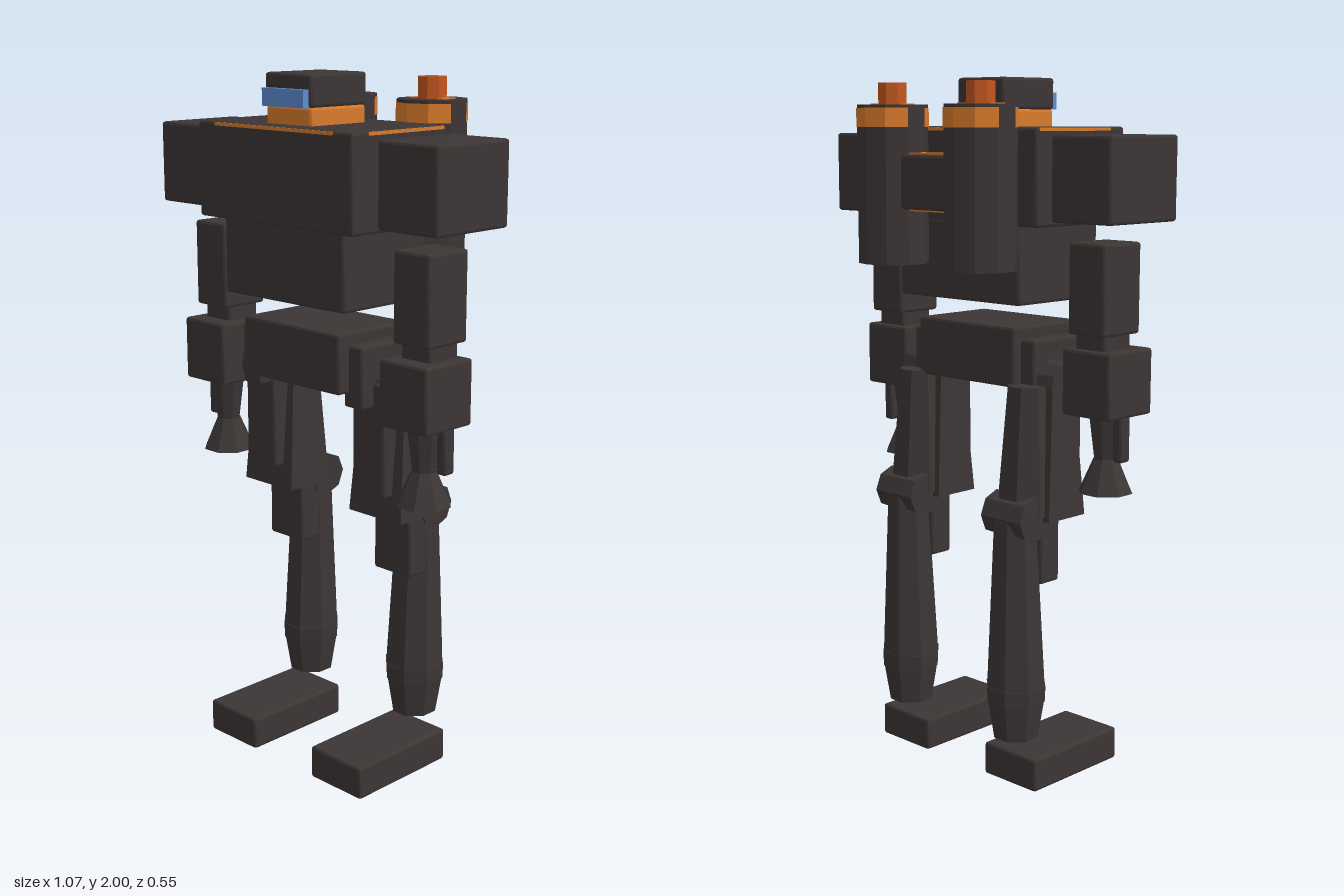
import * as THREE from 'three';
import { toCreasedNormals } from 'three/addons/utils/BufferGeometryUtils.js';
import { RoundedBoxGeometry } from 'three/addons/geometries/RoundedBoxGeometry.js';

function mat(name, color) {
  const m = new THREE.MeshStandardMaterial({ color });
  m.name = name;
  return m;
}

export function createModel() {
  const dark = mat('charcoal', 0x3c3635);
  const orange = mat('orange', 0xd97a2b);
  const rust = mat('rust', 0xc4561f);
  const blue = mat('visorBlue', 0x5f8bd0);

  const model = new THREE.Group();
  model.name = 'robot';

  const add = (parent, name, geo, material, x = 0, y = 0, z = 0) => {
    const mesh = new THREE.Mesh(toCreasedNormals(geo, 0.3), material);
    mesh.name = name;
    mesh.position.set(x, y, z);
    parent.add(mesh);
    return mesh;
  };

  // Box given by its limits on each axis, with a small bevel when thick enough
  const box = (parent, name, [x0, x1], [y0, y1], [z0, z1], material = dark) => {
    const w = x1 - x0, h = y1 - y0, d = z1 - z0;
    const geo = Math.min(w, h, d) > 0.03
      ? new RoundedBoxGeometry(w, h, d, 1, 0.008)
      : new THREE.BoxGeometry(w, h, d);
    return add(parent, name, geo, material, (x0 + x1) / 2, (y0 + y1) / 2, (z0 + z1) / 2);
  };

  // Upright tapered prism; the top may be shifted in z
  const taper = (parent, name, rTop, rBottom, y0, y1, x, z, sides = 8, lean = 0, material = dark) => {
    const h = y1 - y0;
    const geo = new THREE.CylinderGeometry(rTop, rBottom, h, sides);
    geo.rotateY(Math.PI / sides);
    const p = geo.attributes.position;
    for (let i = 0; i < p.count; i++) p.setZ(i, p.getZ(i) + lean * (p.getY(i) / h + 0.5));
    return add(parent, name, geo, material, x, (y0 + y1) / 2, z);
  };

  // Head
  box(model, 'head', [-0.09, 0.09], [1.912, 2], [0, 0.21]);
  box(model, 'neck', [-0.088, 0.088], [1.85, 1.914], [0.003, 0.208], orange);
  box(model, 'visor', [-0.08, 0.08], [1.912, 1.96], [0.2, 0.23], blue);

  // Torso
  box(model, 'chest', [-0.3, 0.3], [1.6, 1.865], [-0.09, 0.27]);
  box(model, 'abdomen', [-0.235, 0.235], [1.385, 1.61], [-0.09, 0.235]);
  box(model, 'pelvis', [-0.19, 0.19], [1.15, 1.32], [-0.06, 0.21]);
  box(model, 'chestTrimFront', [-0.23, 0.23], [1.854, 1.863], [0.262, 0.271], orange);
  box(model, 'chestTrimBack', [-0.2, 0.2], [1.854, 1.863], [-0.091, -0.082], orange);

  // Back beam joining the canisters
  box(model, 'backBeam', [-0.11, 0.11], [1.64, 1.79], [-0.22, -0.12]);
  for (const y of [1.638, 1.792])
    box(model, 'beamStripe', [-0.09, 0.09], [y - 0.003, y + 0.003], [-0.2, -0.145], orange);

  for (const s of [1, -1]) {
    // Limits mirrored to the given side
    const mx = (a, b) => (s > 0 ? [a, b] : [-b, -a]);

    box(model, 'chestTrimSide', mx(0.292, 0.301), [1.854, 1.863], [-0.08, 0.21], orange);

    // Canister with painted band and nozzle
    const can = new THREE.Group();
    can.name = 'canister';
    can.position.set(s * 0.173, 0, -0.173);
    model.add(can);
    add(can, 'canisterBody', new THREE.CylinderGeometry(0.1, 0.1, 0.44, 10), dark, 0, 1.705, 0);
    for (const start of [0, Math.PI]) {
      const band = new THREE.CylinderGeometry(0.102, 0.102, 0.052, 4, 1, true,
        start - Math.PI * 0.4, Math.PI * 0.8);
      add(can, 'canisterBand', band, orange, 0, 1.89, 0);
    }
    for (const y of [1.485, 1.925])
      box(can, 'canisterStripe', [-0.062, 0.062], [y - 0.003, y + 0.003], [-0.027, 0.027], orange);
    taper(can, 'nozzle', 0.042, 0.042, 1.92, 1.985, 0, 0, 8, 0, rust);

    // Arm
    const arm = new THREE.Group();
    arm.name = s > 0 ? 'leftArm' : 'rightArm';
    model.add(arm);
    box(arm, 'shoulder', mx(0.33, 0.537), [1.615, 1.845], [-0.068, 0.21]);
    box(arm, 'upperArm', mx(0.335, 0.463), [1.31, 1.56], [0, 0.153]);
    box(arm, 'elbow', mx(0.345, 0.45), [1.25, 1.32], [0.02, 0.13]);
    box(arm, 'forearm', mx(0.315, 0.485), [1.085, 1.27], [0, 0.183]);
    taper(arm, 'wrist', 0.052, 0.034, 0.955, 1.09, s * 0.4, 0.093);
    taper(arm, 'handCone', 0.036, 0.078, 0.865, 0.96, s * 0.4, 0.093);
    box(arm, 'finger', mx(0.447, 0.48), [0.96, 1.09], [0.06, 0.1]);

    // Leg
    const leg = new THREE.Group();
    leg.name = s > 0 ? 'leftLeg' : 'rightLeg';
    model.add(leg);
    box(leg, 'hipBlock', mx(0.17, 0.24), [1.11, 1.285], [-0.03, 0.17]);
    const hip = new THREE.CylinderGeometry(0.075, 0.075, 0.11, 12).rotateZ(Math.PI / 2);
    add(leg, 'hipJoint', hip, dark, s * 0.245, 1.153, 0.05);
    taper(leg, 'thigh', 0.062, 0.09, 0.8, 1.16, s * 0.22, -0.035, 8, 0.005);

    // Thigh guard, flared toward the knee
    const guard = new THREE.BoxGeometry(0.2, 0.365, 0.15);
    const p = guard.attributes.position;
    for (let i = 0; i < p.count; i++)
      if (p.getY(i) > 0) p.setXYZ(i, p.getX(i) * 0.82, p.getY(i), p.getZ(i) * 0.6);
    add(leg, 'thighGuard', guard, dark, s * 0.22, 0.968, 0.022);
    box(leg, 'thighPlate', mx(0.16, 0.28), [0.855, 1.18], [0.04, 0.125]);

    const knee = new THREE.CylinderGeometry(0.064, 0.064, 0.15, 8).rotateZ(Math.PI / 2);
    add(leg, 'knee', knee, dark, s * 0.22, 0.795, -0.08);
    box(leg, 'kneePlate', mx(0.15, 0.29), [0.6, 0.79], [-0.05, 0.025]);
    taper(leg, 'shin', 0.062, 0.088, 0.295, 0.8, s * 0.22, -0.077, 8, -0.007);
    taper(leg, 'ankleCollar', 0.09, 0.088, 0.255, 0.3, s * 0.22, -0.077);
    taper(leg, 'ankle', 0.086, 0.067, 0.145, 0.257, s * 0.22, -0.077);
    box(leg, 'foot', mx(0.12, 0.32), [0.003, 0.1], [-0.103, 0.255]);
  }
  return model;
}
